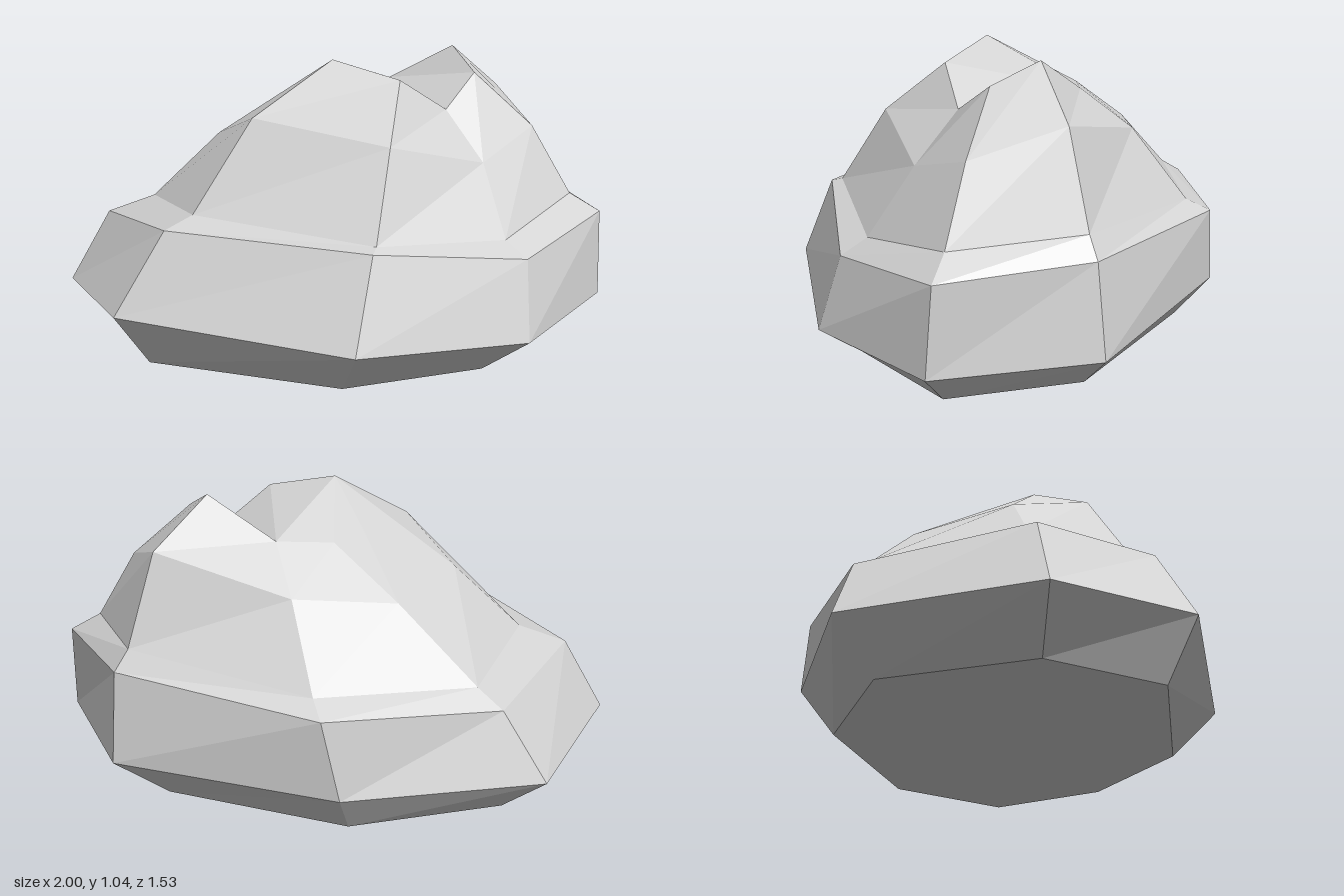
import * as THREE from 'three';

// Eight-sided rings from base to crest; each starts at +x and turns towards +z
const rings = [
  // base outline
  [[0.82, 0, 0.02], [0.55, 0, 0.39], [0.07, 0, 0.58], [-0.62, 0, 0.4],
    [-0.79, 0, -0.015], [-0.565, 0, -0.505], [-0.03, 0, -0.64], [0.6, 0, -0.4]],
  // widest girth
  [[1, 0.153, 0.023], [0.7, 0.14, 0.485], [0.12, 0.19, 0.765], [-0.72, 0.2, 0.485],
    [-1, 0.155, -0.02], [-0.69, 0.16, -0.64], [0, 0.165, -0.765], [0.775, 0.165, -0.495]],
  // outer rim of the ledge
  [[0.992, 0.465, 0], [0.69, 0.41, 0.4], [0.17, 0.493, 0.625], [-0.55, 0.49, 0.4],
    [-0.845, 0.425, -0.035], [-0.54, 0.405, -0.59], [0.06, 0.445, -0.755], [0.755, 0.49, -0.46]],
  // inner rim of the ledge
  [[0.88, 0.53, -0.01], [0.62, 0.455, 0.33], [0.18, 0.505, 0.58], [-0.46, 0.53, 0.34],
    [-0.67, 0.49, -0.04], [-0.46, 0.463, -0.53], [0.085, 0.49, -0.67], [0.71, 0.56, -0.425]],
  // shoulder
  [[0.735, 0.775, -0.04], [0.545, 0.69, 0.185], [0.22, 0.79, 0.39], [-0.26, 0.85, 0.23],
    [-0.42, 0.73, -0.06], [-0.2, 0.71, -0.395], [0.155, 0.757, -0.48], [0.62, 0.875, -0.34]],
  // jagged crest
  [[0.52, 0.965, -0.065], [0.415, 0.855, 0.07], [0.25, 0.975, 0.16], [0.01, 1.03, 0.07],
    [-0.08, 0.9, -0.115], [0.015, 0.88, -0.255], [0.21, 0.9, -0.305], [0.445, 1.04, -0.215]],
];

// Crest corners joined across the hollow top
const capFaces = [[6, 0, 7], [6, 1, 0], [6, 2, 1], [6, 3, 2], [6, 5, 3], [5, 4, 3]];

export function createModel() {
  const stone = new THREE.MeshStandardMaterial({ color: 0xd4d4d4 });
  stone.name = 'pale stone grey';
  const n = 8;
  const points = [];
  const tri = (a, b, c) => points.push(...a, ...b, ...c);

  // Sides: two triangles for each pair of neighbouring points
  for (let r = 0; r < rings.length - 1; r++) {
    const low = rings[r], high = rings[r + 1];
    for (let i = 0; i < n; i++) {
      const j = (i + 1) % n;
      tri(low[i], high[i], low[j]);
      tri(high[i], high[j], low[j]);
    }
  }

  // Flat underside and hollow top
  const base = rings[0], crest = rings[rings.length - 1];
  for (let k = 1; k < n - 1; k++) tri(base[0], base[k], base[k + 1]);
  for (const [a, b, c] of capFaces) tri(crest[a], crest[b], crest[c]);

  // Unshared corners give every facet its own flat normal
  const geometry = new THREE.BufferGeometry();
  geometry.setAttribute('position', new THREE.Float32BufferAttribute(points, 3));
  geometry.computeVertexNormals();

  const boulder = new THREE.Mesh(geometry, stone);
  boulder.name = 'boulder';
  const group = new THREE.Group();
  group.name = 'rock';
  group.add(boulder);
  return group;
}
